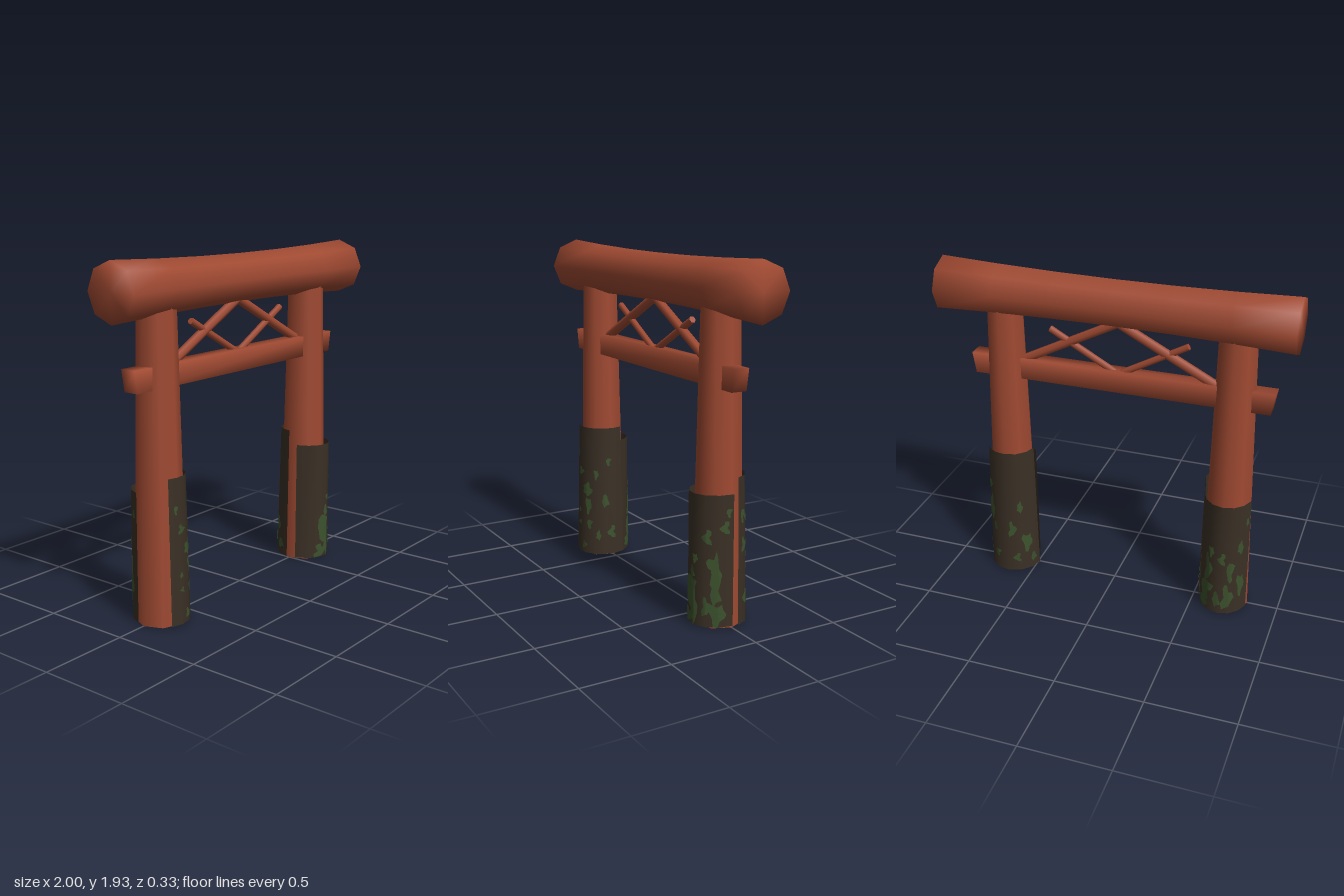
import * as THREE from 'three';
import { mergeVertices } from 'three/addons/utils/BufferGeometryUtils.js';

const mat = (name, color, side = THREE.FrontSide) => {
  const m = new THREE.MeshStandardMaterial({ color, side });
  m.name = name;
  return m;
};

export function createModel() {
  const model = new THREE.Group();
  const red = mat('red painted wood', 0xa04a32);
  const bark = mat('dark bark', 0x3a3025, THREE.DoubleSide);
  const moss = mat('green moss', 0x3c522d, THREE.DoubleSide);

  const add = (name, geometry, material, parent = model) => {
    const mesh = new THREE.Mesh(geometry, material);
    mesh.name = name;
    parent.add(mesh);
    return mesh;
  };

  // Top beam: octagonal log that flares gently towards both ends
  const profile = [new THREE.Vector2(0, -1)];
  for (let i = 0; i <= 6; i++) {
    const x = -1 + i / 3;
    profile.push(new THREE.Vector2(0.133 + 0.024 * x * x, x));
  }
  profile.push(new THREE.Vector2(0, 1));
  const topBeam = add('topBeam', new THREE.LatheGeometry(profile, 8), red);
  topBeam.rotation.z = -Math.PI / 2;
  topBeam.position.y = 1.773;

  // Lower tie beam: softened box with ends slanting outwards at the top
  let tie = new THREE.BoxGeometry(1.72, 0.12, 0.09);
  const p = tie.attributes.position;
  for (let i = 0; i < p.count; i++) {
    p.setX(i, p.getX(i) + Math.sign(p.getX(i)) * Math.sign(p.getY(i)) * 0.01);
  }
  tie.deleteAttribute('normal');
  tie.deleteAttribute('uv');
  tie = mergeVertices(tie);
  tie.computeVertexNormals();
  add('tieBeam', tie, red).position.set(-0.03, 1.325, 0.005);

  // Crossed braces between the beams
  const brace = (name, x0, y0, x1, y1, r) => {
    const a = new THREE.Vector3(x0, y0, 0), b = new THREE.Vector3(x1, y1, 0);
    const mesh = add(name, new THREE.CylinderGeometry(r, r, a.distanceTo(b), 6), red);
    mesh.position.copy(a).add(b).multiplyScalar(0.5);
    mesh.quaternion.setFromUnitVectors(new THREE.Vector3(0, 1, 0), b.sub(a).normalize());
  };
  for (const s of [-1, 1]) {
    const cx = -0.02;
    brace('longBrace', cx + s * 0.6, 1.35, cx + s * 0.0, 1.66, 0.026);
    brace('shortBrace', cx + s * 0.395, 1.577, cx + s * 0.0, 1.36, 0.019);
  }

  // Bark sleeve: part of a faceted tube, angles in degrees from +z towards +x
  const SEGS = 6, BASE = 0.008;
  const sleeve = (parent, name, from, to, top, rTop, rBottom, patches) => {
    const corner = (k, y, grow) => {
      const a = THREE.MathUtils.degToRad(from + (to - from) * k / SEGS);
      const f = (y - BASE) / (top - BASE);
      const rx = THREE.MathUtils.lerp(rBottom[0], rTop[0], f) + grow;
      const rz = THREE.MathUtils.lerp(rBottom[1], rTop[1], f) + grow;
      return new THREE.Vector3(Math.sin(a) * rx, y, Math.cos(a) * rz);
    };
    const onSleeve = (deg, y, grow) => {
      const k = THREE.MathUtils.clamp((deg - from) / (to - from), 0, 1) * SEGS;
      const i = Math.min(Math.floor(k), SEGS - 1);
      return corner(i, y, grow).lerp(corner(i + 1, y, grow), k - i);
    };
    const wrap = (g, place) => {
      const pos = g.attributes.position;
      for (let i = 0; i < pos.count; i++) {
        const v = place(pos.getX(i), pos.getY(i));
        pos.setXYZ(i, v.x, v.y, v.z);
      }
      g.computeVertexNormals();
      return g;
    };
    const shell = new THREE.PlaneGeometry(1, 1, SEGS, 1);
    add(name, wrap(shell, (x, y) =>
      onSleeve(from + (x + 0.5) * (to - from), BASE + (y + 0.5) * (top - BASE), 0)), bark, parent);

    // Moss patches: wobbly blobs lying on the bark [angle, height, half width, half height]
    patches.forEach(([deg, y, w, h], n) => {
      const blob = new THREE.RingGeometry(0.01, 1, 14, 3);
      add('mossPatch', wrap(blob, (u, v) => {
        const t = Math.atan2(v, u);
        const wob = 1 + 0.22 * Math.sin(3 * t + n * 2.1) + 0.14 * Math.sin(5 * t + n);
        const yy = THREE.MathUtils.clamp(y + v * h * wob, BASE, top);
        const lean = 0.25 * w * Math.sin(4 * v + n);
        return onSleeve(deg + (u * w * wob + lean) / 0.145 * 57.3, yy, 0.004);
      }), moss, parent);
    });
  };

  // Tapered pillars with their two sleeves
  const pillar = (name, x) => {
    const group = new THREE.Group();
    group.name = name;
    group.position.x = x;
    model.add(group);
    add('post', new THREE.CylinderGeometry(0.104, 0.141, 1.7, 8), red, group).position.y = 0.85;
    return group;
  };
  const tallTop = [0.14, 0.137], tallBottom = [0.153, 0.158];
  const shortTop = [0.138, 0.163], shortBottom = [0.142, 0.163];

  const left = pillar('leftPillar', 0.64);
  sleeve(left, 'frontSleeve', -75, 92, 0.725, shortTop, shortBottom, [
    [-6, 0.2, 0.04, 0.09], [-12, 0.05, 0.045, 0.04], [8, 0.12, 0.025, 0.1], [12, 0.38, 0.018, 0.025],
    [4, 0.3, 0.018, 0.035], [40, 0.5, 0.022, 0.04], [46, 0.36, 0.018, 0.03], [38, 0.12, 0.022, 0.05],
    [57, 0.3, 0.026, 0.1], [60, 0.08, 0.04, 0.06], [56, 0.19, 0.024, 0.06], [75, 0.55, 0.02, 0.035], [82, 0.63, 0.012, 0.025],
  ]);
  sleeve(left, 'backSleeve', 103, 266, 0.81, tallTop, tallBottom, [
    [118, 0.6, 0.016, 0.04], [122, 0.44, 0.02, 0.04], [138, 0.42, 0.024, 0.08], [134, 0.58, 0.02, 0.03],
    [150, 0.3, 0.016, 0.03], [126, 0.15, 0.016, 0.04], [155, 0.12, 0.02, 0.025], [195, 0.3, 0.02, 0.05],
    [215, 0.45, 0.018, 0.035], [230, 0.2, 0.03, 0.06], [245, 0.08, 0.02, 0.03], [205, 0.1, 0.018, 0.03],
  ]);

  const right = pillar('rightPillar', -0.68);
  sleeve(right, 'frontSleeve', -28, 118, 0.81, tallTop, tallBottom, [
    [-12, 0.64, 0.01, 0.025], [2, 0.53, 0.022, 0.025], [24, 0.42, 0.034, 0.04], [28, 0.32, 0.02, 0.05],
    [-2, 0.28, 0.012, 0.015], [0, 0.2, 0.012, 0.015], [31, 0.2, 0.016, 0.03], [16, 0.06, 0.016, 0.025],
    [54, 0.13, 0.014, 0.03], [48, 0.52, 0.014, 0.03], [70, 0.35, 0.02, 0.04], [85, 0.15, 0.02, 0.04], [78, 0.6, 0.014, 0.025],
  ]);
  sleeve(right, 'backSleeve', 105, 256, 0.725, shortTop, shortBottom, [
    [145, 0.15, 0.04, 0.07], [150, 0.3, 0.024, 0.09], [138, 0.06, 0.035, 0.04], [158, 0.42, 0.018, 0.035],
    [175, 0.1, 0.022, 0.05], [185, 0.38, 0.02, 0.04], [205, 0.3, 0.02, 0.07], [200, 0.12, 0.03, 0.08],
    [228, 0.45, 0.018, 0.04], [232, 0.2, 0.024, 0.07], [245, 0.6, 0.012, 0.025],
  ]);

  return model;
}
